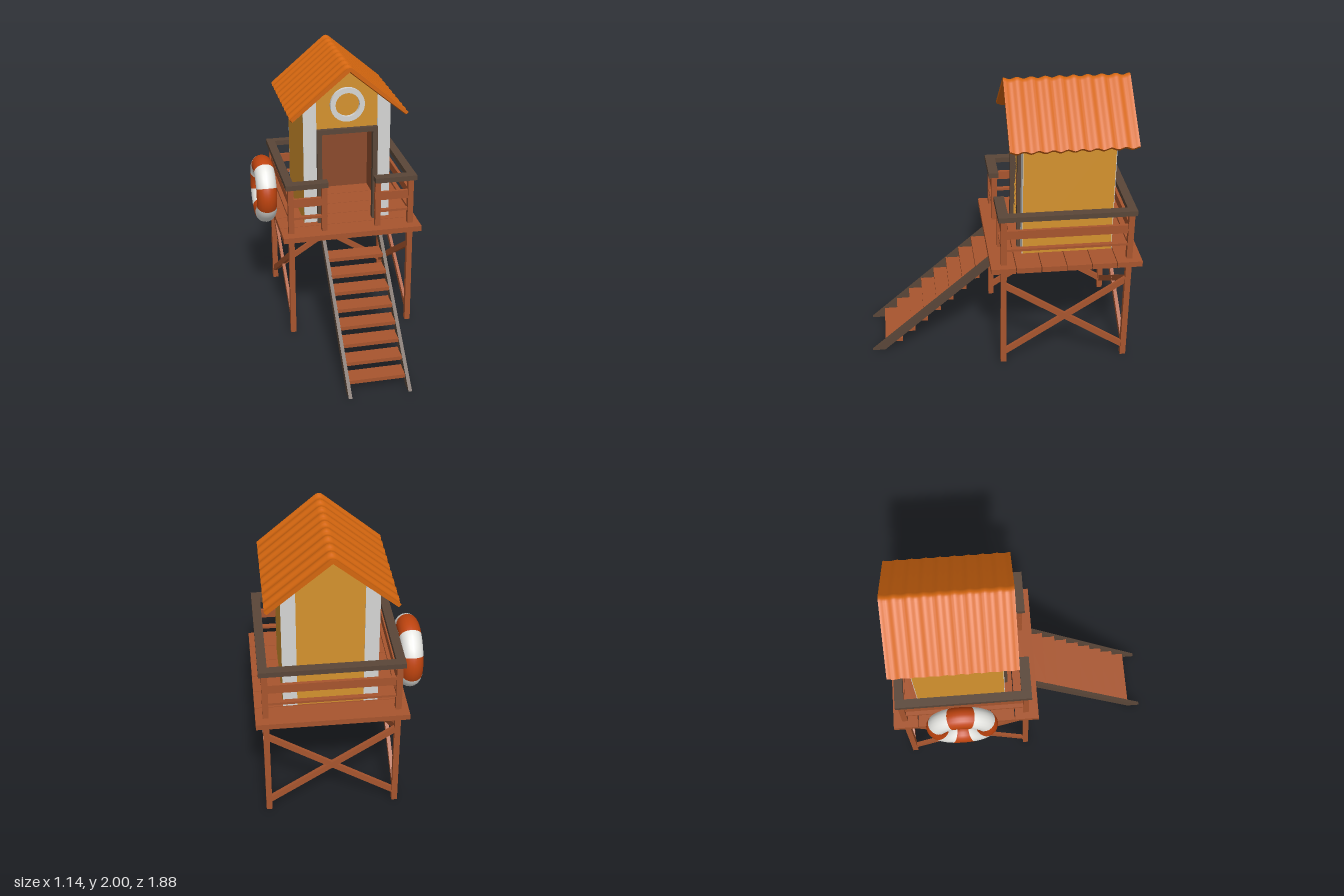
import * as THREE from 'three';
import { toCreasedNormals } from 'three/addons/utils/BufferGeometryUtils.js';

const mat = (name, color) => {
  const m = new THREE.MeshStandardMaterial({ color });
  m.name = name;
  return m;
};

export function createModel() {
  const timber = mat('timber', 0xa8552e);
  const trim = mat('dark trim', 0x5a4638);
  const wall = mat('ochre wall', 0xd4922e);
  const white = mat('pale paint', 0xd6d6d4);
  const roofMat = mat('orange roof', 0xd4660f);
  const lining = mat('brown lining', 0x8b4a2b);
  const buoyRed = mat('buoy orange', 0xbf440f);
  const buoyWhite = mat('buoy white', 0xe6e6e2);

  const model = new THREE.Group();
  model.name = 'lookoutHut';
  // The tower is symmetric about its own centre line; only the buoy hangs off it.
  const tower = new THREE.Group();
  tower.name = 'tower';
  tower.position.x = 0.065;
  model.add(tower);

  const add = (name, geo, material, parent = tower) => {
    const m = new THREE.Mesh(geo, material);
    m.name = name;
    parent.add(m);
    return m;
  };
  // Box given by its minimum and maximum on each axis
  const box = (name, material, x0, x1, y0, y1, z0, z1) => {
    const m = add(name, new THREE.BoxGeometry(x1 - x0, y1 - y0, z1 - z0), material);
    m.position.set((x0 + x1) / 2, (y0 + y1) / 2, (z0 + z1) / 2);
    return m;
  };
  const shapeOf = (pts) => new THREE.Shape(pts.map(([x, y]) => new THREE.Vector2(x, y)));
  const extrude = (name, material, shape, depth, z0) => {
    const m = add(name, new THREE.ExtrudeGeometry(shape, { depth, bevelEnabled: false, curveSegments: 32 }), material);
    m.position.z = z0;
    return m;
  };

  // Posts
  const postX = 0.437, frontZ = 0.01, backZ = -0.857;
  for (const s of [-1, 1]) {
    for (const z of [frontZ, backZ]) {
      box('cornerPost', timber, s * postX - 0.02, s * postX + 0.02, 0.005, 1.165, z - 0.02, z + 0.02);
    }
    box('gatePost', timber, s * 0.195 - 0.02, s * 0.195 + 0.02, 0.82, 1.165, frontZ - 0.02, frontZ + 0.02);
  }

  // Crossed braces on the back and both sides
  const brace = (a, b, offset) => {
    const dir = new THREE.Vector3().subVectors(b, a);
    const m = add('brace', new THREE.BoxGeometry(0.022 + offset, 0.042, dir.length()), timber);
    m.position.addVectors(a, b).multiplyScalar(0.5);
    m.lookAt(b.clone().add(tower.position));
    m.quaternion.setFromRotationMatrix(new THREE.Matrix4().lookAt(b, a, new THREE.Vector3(0, 1, 0)));
  };
  const crossed = (x0, z0, x1, z1) => {
    brace(new THREE.Vector3(x0, 0.08, z0), new THREE.Vector3(x1, 0.65, z1), 0);
    brace(new THREE.Vector3(x0, 0.65, z0), new THREE.Vector3(x1, 0.08, z1), 0.004);
  };
  crossed(-postX, backZ, postX, backZ);
  for (const s of [-1, 1]) crossed(s * postX, frontZ, s * postX, backZ);

  // Deck planks
  const pitch = 1.04 / 6;
  for (let i = 0; i < 6; i++) {
    const z = 0.1 - i * pitch;
    box('deckPlank', timber, -0.505, 0.505, 0.78, 0.82, z - pitch + (i < 5 ? 0.005 : 0), z);
  }

  // Railings: dark handrail, broad middle board, thin lower slat
  for (const s of [-1, 1]) {
    const side = (name, material, half, y0, y1) =>
      box(name, material, s * postX - half, s * postX + half, y0, y1, backZ, frontZ);
    side('sideBoard', timber, 0.011, 1.017, 1.08);
    side('sideSlat', timber, 0.016, 0.924, 0.941);
    box('sideHandrail', trim, s * 0.445 - 0.03, s * 0.445 + 0.03, 1.163, 1.2, -0.89, 0.05);
    const [a, b] = s < 0 ? [-postX, -0.172] : [0.172, postX];
    box('frontBoard', timber, a, b, 1.017, 1.08, frontZ - 0.011, frontZ + 0.011);
    box('frontSlat', timber, a, b, 0.924, 0.941, frontZ - 0.016, frontZ + 0.016);
    const [c, d] = s < 0 ? [-0.415, -0.17] : [0.17, 0.415];
    box('frontHandrail', trim, c, d, 1.163, 1.2, -0.02, 0.05);
  }
  box('backBoard', timber, -postX, postX, 1.017, 1.08, backZ - 0.011, backZ + 0.011);
  box('backSlat', timber, -postX, postX, 0.924, 0.941, backZ - 0.016, backZ + 0.016);
  box('backHandrail', trim, -0.415, 0.415, 1.163, 1.2, -0.89, -0.83);

  // Stairs
  const stringer = shapeOf([[-0.94, 0.002], [-0.85, 0.002], [0.045, 0.78], [-0.045, 0.78]]);
  for (const s of [-1, 1]) {
    const geo = new THREE.ExtrudeGeometry(stringer, { depth: 0.025, bevelEnabled: false });
    geo.rotateY(Math.PI / 2);
    add('stairStringer', geo, trim).position.x = s * 0.2075 - 0.0125;
  }
  for (let i = 0; i < 8; i++) {
    const y = 0.053 + i * 0.0846, z = 0.845 - i * 0.0945;
    box('stairTread', timber, -0.198, 0.198, y, y + 0.027, z - 0.125, z);
  }

  // Hut walls, following the roof slope
  const W = 0.315, floor = 0.82;
  const roofY = (x) => 1.96 - 0.827 * Math.abs(x);
  extrude('frontWall', wall, shapeOf([
    [-W, floor], [-0.185, floor], [-0.185, 1.5], [0.185, 1.5], [0.185, floor], [W, floor],
    [W, roofY(W)], [0, roofY(0)], [-W, roofY(W)],
  ]), 0.016, -0.15);
  extrude('backWall', wall, shapeOf([
    [-W, floor], [W, floor], [W, roofY(W)], [0, roofY(0)], [-W, roofY(W)],
  ]), 0.016, -0.756);
  for (const s of [-1, 1]) {
    box('sideWall', wall, s * 0.307 - 0.008, s * 0.307 + 0.008, floor, roofY(W), -0.745, -0.145);
    box('sideLining', lining, s * 0.297 - 0.003, s * 0.297 + 0.003, floor, 1.69, -0.74, -0.15);
    // Pale corner boards, front and back
    const board = [[0.22, floor], [W, floor], [W, roofY(W)], [0.22, roofY(0.22)]].map(([x, y]) => [s * x, y]);
    extrude('frontCornerBoard', white, shapeOf(board), 0.004, -0.134);
    extrude('backCornerBoard', white, shapeOf(board), 0.004, -0.76);
  }
  box('backLining', lining, -0.3, 0.3, floor, 1.69, -0.741, -0.735);
  box('ceiling', lining, -0.3, 0.3, 1.685, 1.69, -0.74, -0.15);

  // Door frame around the open doorway
  extrude('doorFrame', trim, shapeOf([
    [-0.22, floor], [-0.185, floor], [-0.185, 1.5], [0.185, 1.5], [0.185, floor], [0.22, floor],
    [0.22, 1.535], [-0.22, 1.535],
  ]), 0.045, -0.15);

  // Round gable window frame
  const ring = new THREE.Shape().absarc(0, 1.71, 0.123, 0, Math.PI * 2);
  ring.holes.push(new THREE.Path().absarc(0, 1.71, 0.086, 0, Math.PI * 2, true));
  extrude('roundWindowFrame', white, ring, 0.028, -0.135);

  // Corrugated roof: a folded sheet with a ripple along its length
  const roofLen = 0.857;
  const sheet = new THREE.ExtrudeGeometry(shapeOf([
    [-0.405, 1.63], [0, 1.965], [0.405, 1.63], [0.42, 1.648],
    [0.03, 1.978], [0.016, 1.988], [0, 1.992], [-0.016, 1.988], [-0.03, 1.978], [-0.42, 1.648],
  ]), { depth: roofLen, steps: 108, bevelEnabled: false });
  const p = sheet.attributes.position;
  for (let i = 0; i < p.count; i++) {
    p.setY(i, p.getY(i) + 0.007 * Math.cos((p.getZ(i) / roofLen) * 18 * Math.PI));
  }
  add('roof', toCreasedNormals(sheet, 0.6), roofMat).position.z = -0.887;

  // Life ring in eight alternating bands
  const buoy = new THREE.Group();
  buoy.name = 'lifeRing';
  buoy.position.set(-0.5, 0.982, -0.446);
  buoy.rotation.y = Math.PI / 2;
  for (let i = 0; i < 8; i++) {
    const band = add('lifeRingBand', new THREE.TorusGeometry(0.176, 0.075, 20, 8, Math.PI / 4),
      i % 2 ? buoyWhite : buoyRed, buoy);
    band.rotation.z = (i - 0.5) * Math.PI / 4;
  }
  model.add(buoy);

  return model;
}
